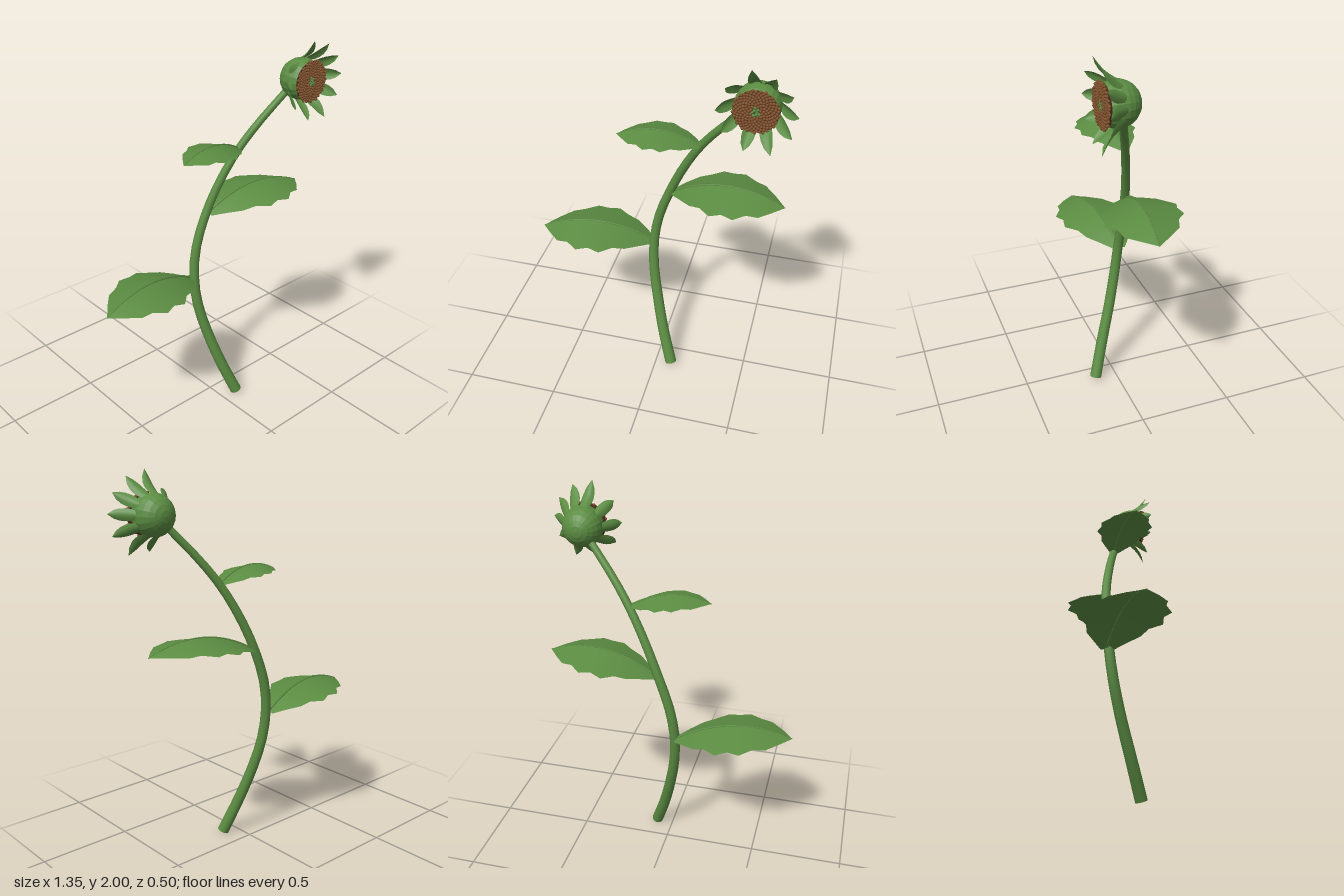
import * as THREE from 'three';
import { mergeGeometries } from 'three/addons/utils/BufferGeometryUtils.js';

const V = (x, y, z) => new THREE.Vector3(x, y, z);
const HEAD = V(0.48, 1.79, 0);

// Tube along a curve whose radius runs from r0 to r1
function taperedTube(curve, segments, sides, r0, r1) {
  const geo = new THREE.TubeGeometry(curve, segments, 1, sides, false);
  const pos = geo.attributes.position, v = V(0, 0, 0);
  for (let i = 0; i <= segments; i++) {
    const centre = curve.getPointAt(i / segments);
    const r = THREE.MathUtils.lerp(r0, r1, i / segments);
    for (let j = 0; j <= sides; j++) {
      const k = i * (sides + 1) + j;
      v.fromBufferAttribute(pos, k).sub(centre).multiplyScalar(r).add(centre);
      pos.setXYZ(k, v.x, v.y, v.z);
    }
  }
  return geo;
}

// Surface from rows of points, all rows the same length
function loft(rows) {
  const cols = rows[0].length, index = [];
  for (let i = 0; i < rows.length - 1; i++) {
    for (let j = 0; j < cols - 1; j++) {
      const a = i * cols + j, b = a + cols;
      index.push(a, b, a + 1, a + 1, b, b + 1);
    }
  }
  const geo = new THREE.BufferGeometry().setFromPoints(rows.flat());
  geo.setIndex(index);
  geo.computeVertexNormals();
  return geo;
}

function add(parent, name, geo, mat) {
  const mesh = new THREE.Mesh(geo, mat);
  mesh.name = name;
  parent.add(mesh);
  return mesh;
}

// Arched leaf with scalloped edges, folded down along the midrib
const SCALLOPS = [0.03, 0.085, 0.135, 0.155, 0.205, 0.187, 0.205, 0.155, 0.14, 0.075, 0];
function makeLeaf(name, base, tip, scale, mat) {
  const leaf = new THREE.Group();
  leaf.name = name;
  const rib = SCALLOPS.map((w, i) => {
    const t = i / (SCALLOPS.length - 1);
    const p = base.clone().lerp(tip, t);
    p.y += 0.32 * scale * t * (1 - t);
    return p;
  });
  const dir = Math.sign(tip.x - base.x);
  for (const side of [-1, 1]) {
    const rows = rib.map((p, i) => {
      const w = SCALLOPS[i] * scale;
      const row = [0, 0.5, 1].map(s => V(p.x, p.y - 0.24 * w * s, p.z + side * w * s));
      return side * dir > 0 ? row.reverse() : row; // keeps the upper face in front
    });
    add(leaf, side < 0 ? 'leafBackHalf' : 'leafFrontHalf', loft(rows), mat);
  }
  const curve = new THREE.CatmullRomCurve3(rib);
  add(leaf, 'midrib', taperedTube(curve, 16, 6, 0.008 * scale, 0.002), mat);
  return leaf;
}

// Pointed, cupped bract that leans outward and forward at a given angle
function makeBract(angle, reach) {
  const spine = new THREE.CatmullRomCurve3([
    V(0.092, 0, 0.115), V(0.122, 0, 0.165), V(0.155, 0, 0.205), V(reach, 0, 0.247)]);
  const widths = [0.014, 0.022, 0.028, 0.03, 0.028, 0.02, 0.001];
  const rows = widths.map((w, i) => {
    const p = spine.getPoint(i / (widths.length - 1));
    return [-1, -0.5, 0, 0.5, 1].map(s =>
      V(p.x - 0.3 * w * s * s, w * s, p.z + 0.3 * w * s * s));
  });
  return loft(rows).rotateZ(angle);
}

export function createModel() {
  const green = new THREE.MeshStandardMaterial({ color: 0x5b8c42, side: THREE.DoubleSide });
  green.name = 'leaf green';
  const brown = new THREE.MeshStandardMaterial({ color: 0x80502a });
  brown.name = 'seed brown';
  const dark = new THREE.MeshStandardMaterial({ color: 0x4f2c1a });
  dark.name = 'dark brown';

  const plant = new THREE.Group();
  plant.name = 'flower';

  // Curved stem with a closed foot
  const path = new THREE.CatmullRomCurve3([
    V(0.09, 0.014, 0.122), V(0.03, 0.2, 0.062), V(-0.02, 0.4, 0.0), V(-0.052, 0.58, -0.043),
    V(-0.057, 0.75, -0.067), V(-0.03, 0.92, -0.077), V(0.04, 1.12, -0.068),
    V(0.115, 1.29, -0.04), V(0.205, 1.45, 0.0), V(0.3, 1.58, 0.045), V(0.42, 1.72, 0.1)]);
  add(plant, 'stem', taperedTube(path, 22, 12, 0.032, 0.019), green);
  const foot = add(plant, 'stemFoot', new THREE.CircleGeometry(0.032, 12), green);
  foot.position.copy(path.getPointAt(0));
  foot.quaternion.setFromUnitVectors(V(0, 0, 1), path.getTangentAt(0).negate());

  // Leaves
  plant.add(
    makeLeaf('lowerLeaf', V(-0.065, 0.74, -0.08), V(-0.675, 0.785, 0), 1, green),
    makeLeaf('middleLeaf', V(0.045, 1.1, -0.07), V(0.64, 1.145, 0), 1, green),
    makeLeaf('upperLeaf', V(0.2, 1.445, 0), V(-0.215, 1.478, 0.05), 0.69, green));

  // Flower head, facing forward
  const head = new THREE.Group();
  head.name = 'flowerHead';
  head.position.copy(HEAD);
  plant.add(head);

  // Round faceted cup behind the seeds
  const profile = [];
  for (let i = 0; i <= 8; i++) {
    const a = (i / 8) * 2.2;
    profile.push(new THREE.Vector2(0.107 * Math.sin(a), 0.148 - 0.107 * Math.cos(a)));
  }
  const cup = new THREE.LatheGeometry(profile, 20).rotateX(Math.PI / 2).toNonIndexed();
  cup.computeVertexNormals();
  add(head, 'cup', cup, green);

  // Ring of bracts: angle in degrees and reach of each tip
  const bracts = [[97, 0.212], [66, 0.198], [34, 0.192], [3, 0.192], [-30, 0.197],
    [-67, 0.212], [-102, 0.192], [-143, 0.178], [180, 0.176], [140, 0.176]];
  for (const [deg, reach] of bracts) {
    add(head, 'bract', makeBract(THREE.MathUtils.degToRad(deg), reach), green);
  }

  // Seed disc with seeds in a spiral, green at the heart
  const disc = new THREE.CylinderGeometry(0.104, 0.098, 0.012, 24).rotateX(Math.PI / 2);
  add(head, 'seedDisc', disc, dark).position.z = 0.212;
  const outer = [], inner = [], count = 190;
  for (let i = 0; i < count; i++) {
    const r = 0.105 * Math.sqrt((i + 0.5) / count), a = i * 2.39996;
    const seed = new THREE.SphereGeometry(0.0078, 7, 5);
    seed.translate(r * Math.cos(a), r * Math.sin(a), 0.22);
    (i < 8 ? inner : outer).push(seed);
  }
  add(head, 'seeds', mergeGeometries(outer), brown);
  add(head, 'heartSeeds', mergeGeometries(inner), green);

  return plant;
}
